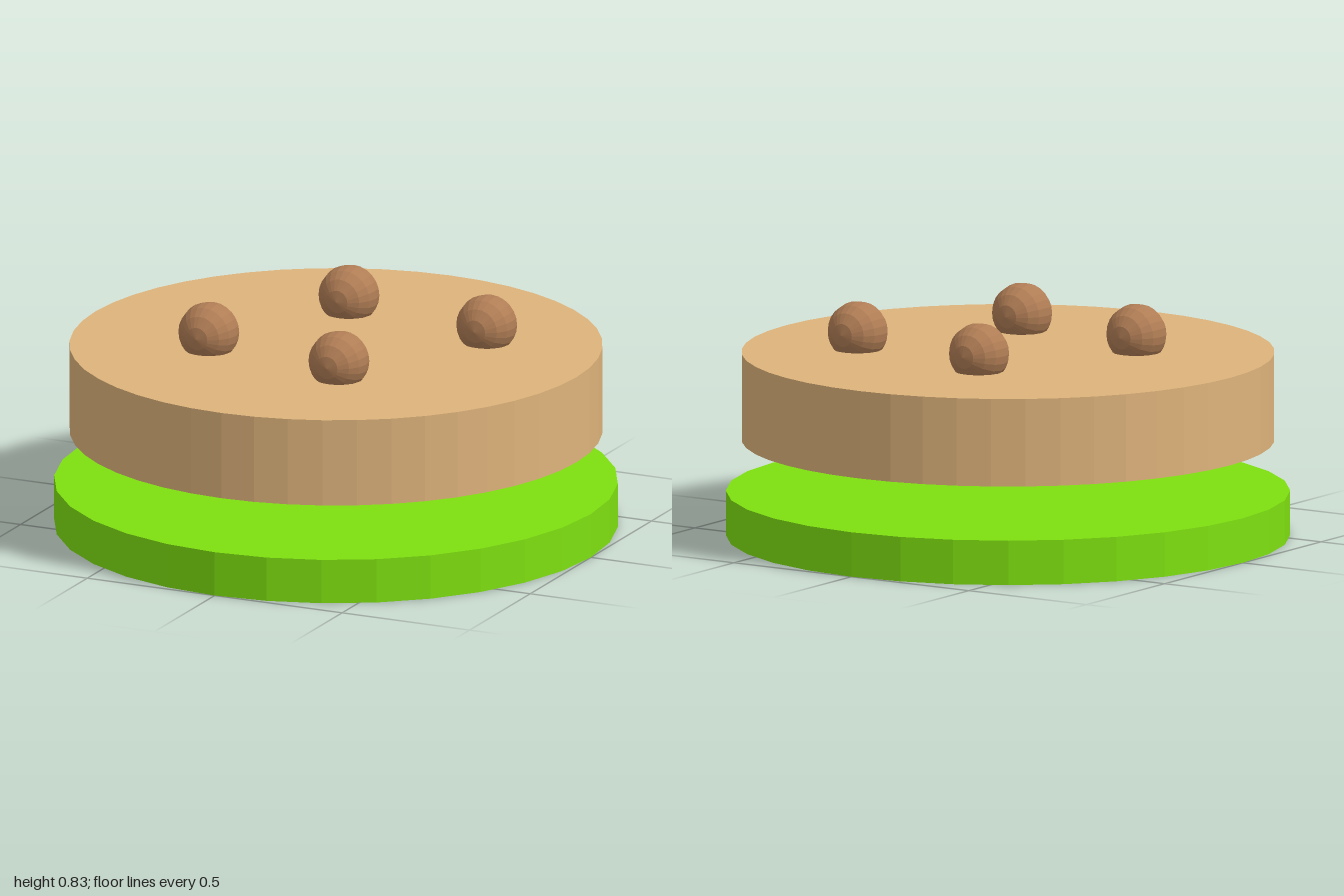
import * as THREE from 'three';

const material = (name, color) => {
  const m = new THREE.MeshStandardMaterial({ color, flatShading: true });
  m.name = name;
  return m;
};

export function createModel() {
  const model = new THREE.Group();
  const green = material('leaf green', 0x7ee010);
  const tan = material('biscuit tan', 0xdeb37b);
  const brown = material('nut brown', 0xb07d55);

  const add = (name, geometry, mat, x, y, z) => {
    const mesh = new THREE.Mesh(geometry, mat);
    mesh.name = name;
    mesh.position.set(x, y, z);
    model.add(mesh);
  };

  // Flat disc from one height to another
  const disc = (name, radius, bottom, top, sides, mat) =>
    add(name, new THREE.CylinderGeometry(radius, radius, top - bottom, sides), mat, 0, (bottom + top) / 2, 0);

  disc('baseDisc', 1, 0, 0.16, 32, green);
  disc('upperDisc', 0.945, 0.345, 0.66, 48, tan);

  // Balls sunk into the upper disc, poles facing front and back
  const ball = new THREE.SphereGeometry(0.108, 24, 8).rotateX(Math.PI / 2);
  [[-0.38, 0.25], [-0.13, -0.38], [0.19, 0.375], [0.47, -0.255]].forEach(([x, z], i) =>
    add(`ball${i + 1}`, ball, brown, x, 0.724, z));

  return model;
}
